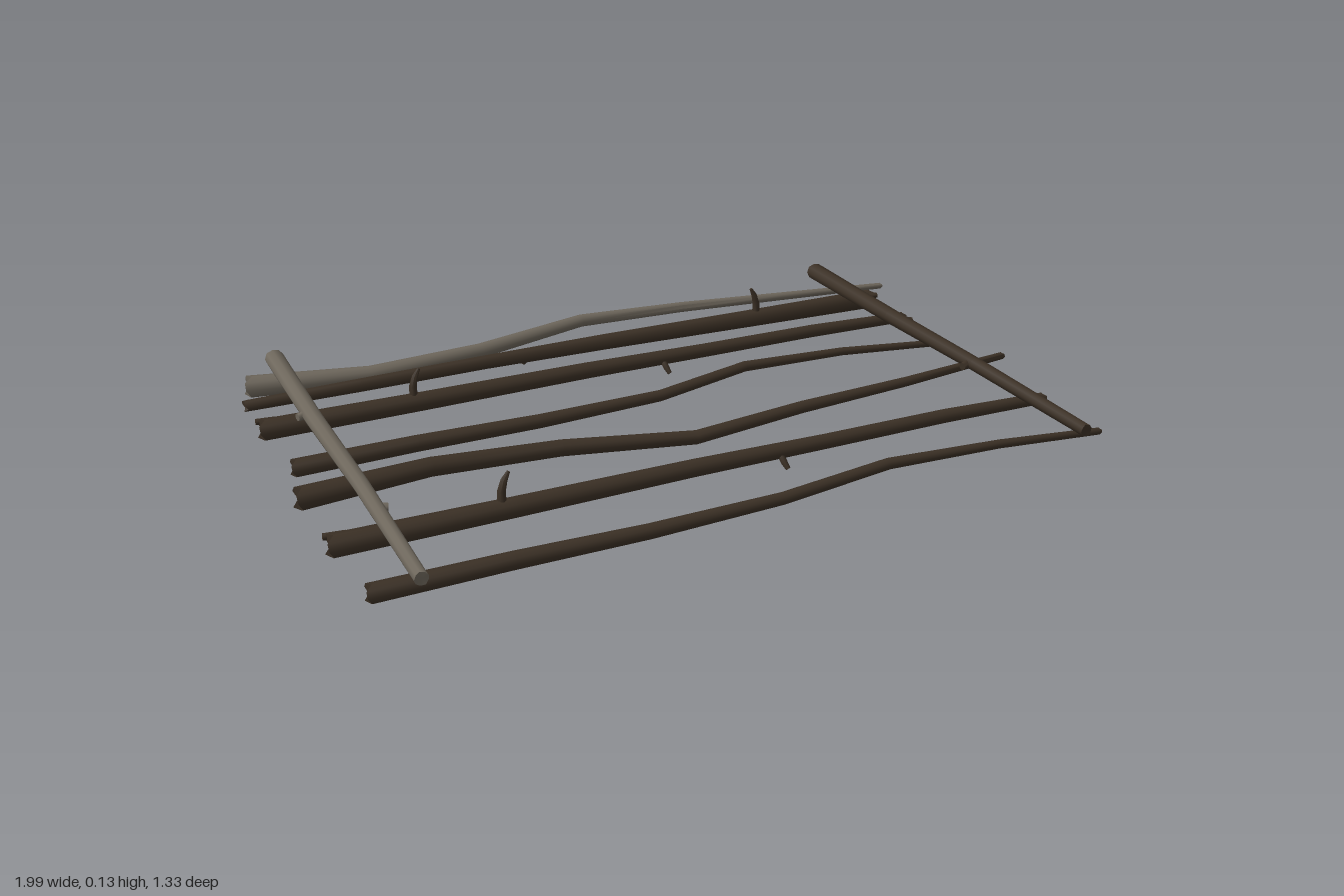
import * as THREE from 'three';
import { toCreasedNormals } from 'three/addons/utils/BufferGeometryUtils.js';

const SIDES = 9;
const bark = new THREE.MeshStandardMaterial({ color: 0x3b3025 });
bark.name = 'darkBark';
const grey = new THREE.MeshStandardMaterial({ color: 0x6e675c });
grey.name = 'greyBark';

// Tapered stick through points [x, y, z, radius]; jag roughens the broken ends
function stickGeometry(points, jag = 0) {
  const p = points.map(([x, y, z]) => new THREE.Vector3(x, y, z));
  const n = p.length;
  const overall = p[n - 1].clone().sub(p[0]).normalize();
  const ref = Math.abs(overall.y) > 0.7 ? new THREE.Vector3(0, 0, 1) : new THREE.Vector3(0, 1, 0);
  const pos = [], index = [];
  for (let i = 0; i < n; i++) {
    const t = p[Math.min(i + 1, n - 1)].clone().sub(p[Math.max(i - 1, 0)]).normalize();
    const u = t.clone().cross(ref).normalize();
    const v = t.clone().cross(u);
    const end = i === 0 ? -1 : i === n - 1 ? 1 : 0;
    for (let j = 0; j < SIDES; j++) {
      const a = (j / SIDES) * Math.PI * 2, r = points[i][3];
      const q = p[i].clone().addScaledVector(u, Math.cos(a) * r).addScaledVector(v, Math.sin(a) * r);
      q.addScaledVector(t, end * jag * r * Math.sin(j * 2.4 + 1));
      pos.push(q.x, q.y, q.z);
    }
  }
  for (let i = 0; i < n - 1; i++) {
    for (let j = 0; j < SIDES; j++) {
      const a = i * SIDES + j, b = i * SIDES + ((j + 1) % SIDES);
      index.push(a, b, a + SIDES, b, b + SIDES, a + SIDES);
    }
  }
  // End caps
  const last = (n - 1) * SIDES, c = n * SIDES;
  pos.push(...p[0].toArray(), ...p[n - 1].toArray());
  for (let j = 0; j < SIDES; j++) {
    const k = (j + 1) % SIDES;
    index.push(c, k, j, c + 1, last + j, last + k);
  }
  const g = new THREE.BufferGeometry();
  g.setAttribute('position', new THREE.Float32BufferAttribute(pos, 3));
  g.setIndex(index);
  return toCreasedNormals(g, 1.1);
}

function addStick(parent, name, points, material, jag = 0) {
  const mesh = new THREE.Mesh(stickGeometry(points, jag), material);
  mesh.name = name;
  parent.add(mesh);
}

// Straight branch with a thorn on top and a small side stub; dir -1 turns it end for end
function straightBranch(name, z, dir, shift) {
  const g = new THREE.Group();
  g.name = name;
  const at = (x, y, dz, r) => [x * dir + shift, y, z + dz * dir, r];
  const order = (list) => list.map((q) => at(...q));
  addStick(g, 'branch', order([[-0.97, 0.042, 0, 0.028], [-0.55, 0.044, 0.002, 0.025], [-0.1, 0.048, 0.002, 0.022],
    [0.25, 0.047, 0.004, 0.019], [0.6, 0.045, -0.002, 0.018], [0.9, 0.04, 0.002, 0.015]]), bark, 0.35);
  addStick(g, 'thorn', order([[-0.58, 0.055, 0, 0.011], [-0.58, 0.09, 0, 0.010], [-0.573, 0.115, 0, 0.008],
    [-0.562, 0.135, 0, 0.004]]), bark);
  addStick(g, 'sideStub', order([[0.12, 0.045, 0.01, 0.009], [0.125, 0.025, 0.026, 0.008],
    [0.13, 0.012, 0.036, 0.006]]), bark);
  addStick(g, 'brokenSplinter', order([[-0.93, 0.055, -0.016, 0.010], [-0.98, 0.058, -0.02, 0.008]]), bark);
  return g;
}

// Bent thin branch, knots given relative to z
function thinBranch(name, z) {
  const g = new THREE.Group();
  g.name = name;
  addStick(g, 'branch', [[-0.95, 0.042, z - 0.01, 0.023], [-0.64, 0.05, z, 0.021], [-0.34, 0.06, z + 0.022, 0.018],
    [0, 0.055, z, 0.015], [0.28, 0.082, z - 0.004, 0.014], [0.58, 0.08, z + 0.014, 0.011],
    [0.87, 0.06, z + 0.022, 0.009]], bark, 0.35);
  return g;
}

// Cross rail along z with two side stubs
function rail(name, x, material, stubs) {
  const g = new THREE.Group();
  g.name = name;
  addStick(g, 'pole', [[x, 0.092, -0.635, 0.025], [x - 0.002, 0.092, -0.2, 0.022], [x + 0.004, 0.092, 0.2, 0.019],
    [x, 0.091, 0.66, 0.016]], material, 0.1);
  for (const [dx, z] of stubs) {
    addStick(g, 'sideStub', [[x, 0.09, z - 0.01, 0.012], [x + dx, 0.088, z, 0.010]], material);
  }
  return g;
}

export function createModel() {
  const model = new THREE.Group();
  model.name = 'stickPanel';

  // Three straight branches, one reversed
  model.add(straightBranch('backStraightBranch', -0.47, -1, -0.075));
  model.add(straightBranch('middleStraightBranch', -0.3, 1, 0));
  model.add(straightBranch('frontStraightBranch', 0.36, 1, 0));

  // Thin bent branches
  model.add(thinBranch('frontThinBranch', 0.6));
  const middle = new THREE.Group();
  middle.name = 'middleThinBranch';
  addStick(middle, 'branch', [[-0.95, 0.042, -0.052, 0.023], [-0.65, 0.05, -0.044, 0.021], [-0.34, 0.06, -0.018, 0.018],
    [0, 0.055, -0.045, 0.015], [0.26, 0.08, -0.074, 0.014], [0.55, 0.078, -0.06, 0.011],
    [0.87, 0.06, -0.035, 0.009]], bark, 0.35);
  model.add(middle);

  // Thick crooked branches
  addStick(model, 'crookedBranch', [[-0.98, 0.047, 0.12, 0.029], [-0.66, 0.05, 0.095, 0.024], [-0.34, 0.045, 0.12, 0.021],
    [-0.01, 0.035, 0.185, 0.018], [0.3, 0.05, 0.165, 0.016], [0.62, 0.055, 0.148, 0.013],
    [0.95, 0.06, 0.115, 0.010]], bark, 0.35);
  addStick(model, 'greyCrookedBranch', [[-0.94, 0.038, -0.6, 0.030], [-0.62, 0.028, -0.565, 0.025],
    [-0.3, 0.036, -0.585, 0.021], [0.03, 0.05, -0.65, 0.018], [0.34, 0.05, -0.627, 0.015],
    [0.66, 0.043, -0.6, 0.012], [0.995, 0.036, -0.57, 0.009]], grey, 0.35);

  // Cross rails lying on top
  model.add(rail('rightRail', -0.858, grey, [[-0.035, -0.235], [0.03, 0.325]]));
  model.add(rail('leftRail', 0.797, bark, [[0.038, -0.155], [-0.03, 0.19]]));

  // Reversed paths flow toward -x, which keeps their faces outward as well
  return model;
}
